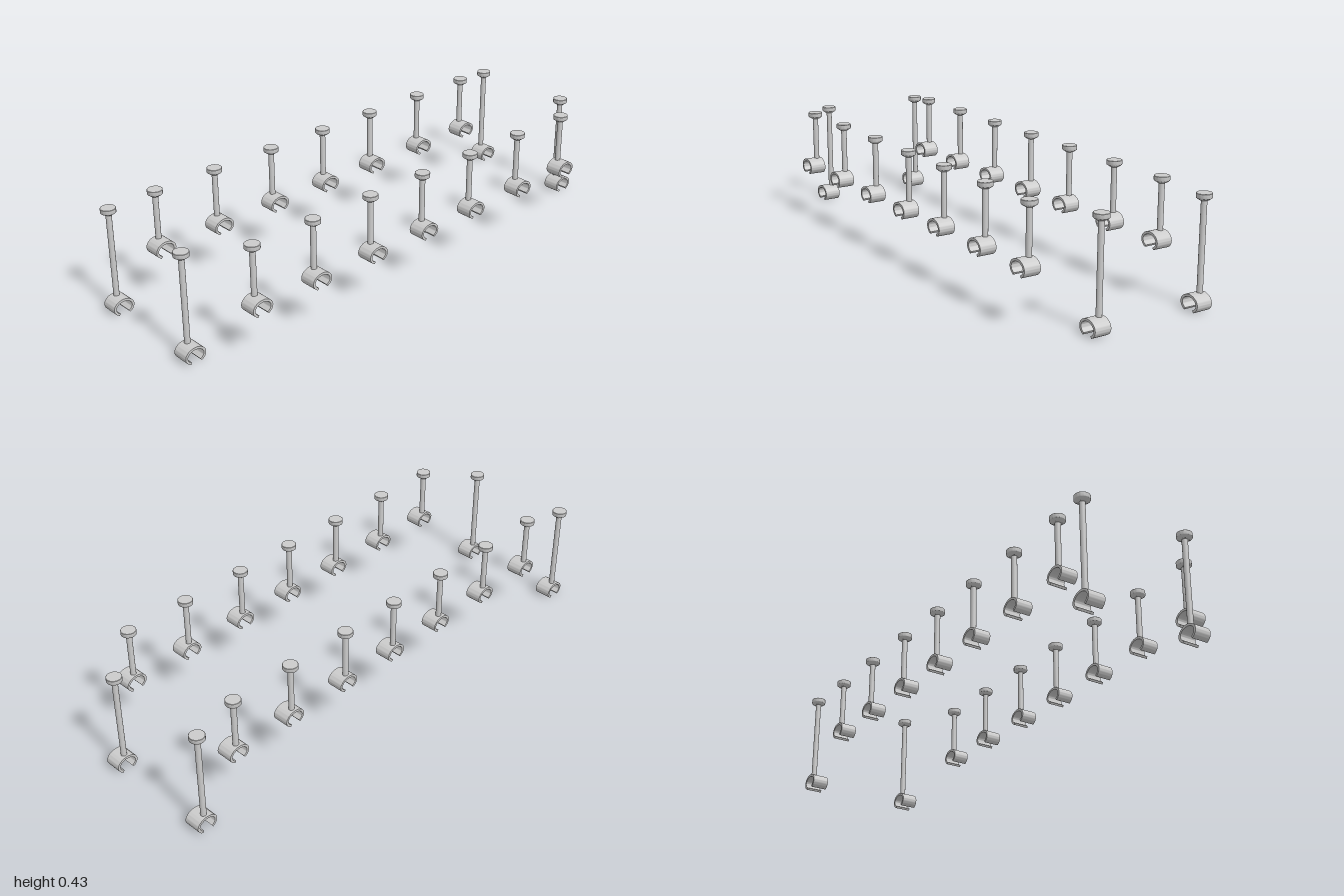
import * as THREE from 'three';
import { toCreasedNormals } from 'three/addons/utils/BufferGeometryUtils.js';

const CLIP_RX = 0.042, CLIP_RY = 0.0325, WALL = 0.009, CLIP_LENGTH = 0.064;
const CLIP_HEIGHT = 0.06;

// C-shaped clip, open at the bottom, resting on y = 0 and centred on z = 0
function clipGeometry() {
  const end = THREE.MathUtils.degToRad(58);
  const cy = CLIP_HEIGHT - CLIP_RY;
  const shape = new THREE.Shape();
  shape.absellipse(0, cy, CLIP_RX, CLIP_RY, -end, Math.PI + end, false);
  shape.absellipse(0, cy, CLIP_RX - WALL, CLIP_RY - WALL, Math.PI + end, -end, true);
  shape.closePath();
  const geometry = new THREE.ExtrudeGeometry(shape, {
    depth: CLIP_LENGTH, bevelEnabled: false, curveSegments: 28,
  });
  geometry.translate(0, 0, -CLIP_LENGTH / 2);
  return toCreasedNormals(geometry, 0.6);
}

// Round cap with a tapered underside, its top face at y = 0
function capGeometry() {
  const profile = [[0, -0.025], [0.016, -0.025], [0.0275, -0.017], [0.028, -0.016],
    [0.028, -0.001], [0.027, 0], [0, 0]].map(([r, y]) => new THREE.Vector2(r, y));
  return toCreasedNormals(new THREE.LatheGeometry(profile, 28), 0.5);
}

export function createModel() {
  const model = new THREE.Group();
  model.name = 'hangerSet';
  const material = new THREE.MeshStandardMaterial({ color: 0xcccccc });
  const clipShape = clipGeometry();
  const capShape = capGeometry();

  function addHanger(name, x, z, bottom, top) {
    const hanger = new THREE.Group();
    hanger.name = name;
    hanger.position.set(x, bottom, z);

    const clip = new THREE.Mesh(clipShape, material);
    clip.name = 'clip';
    clip.position.z = 0.0135;

    // Stem runs from inside the clip wall up into the cap
    const low = CLIP_HEIGHT - WALL / 2, high = top - bottom - 0.02;
    const stem = new THREE.Mesh(
      new THREE.CylinderGeometry(0.0107, 0.0107, high - low, 24), material);
    stem.name = 'stem';
    stem.position.y = (low + high) / 2;

    const cap = new THREE.Mesh(capShape, material);
    cap.name = 'cap';
    cap.position.y = top - bottom;

    hanger.add(clip, stem, cap);
    model.add(hanger);
  }

  // Two rows of short hangers
  for (const x of [-0.782, -0.522, -0.257, 0, 0.251, 0.518, 0.777]) {
    addHanger('shortHangerFront', x, 0.28, 0.177, 0.43);
    addHanger('shortHangerBack', x, -0.266, 0.177, 0.43);
  }

  // Long hangers at both ends
  for (const x of [-0.958, 0.958]) {
    addHanger('longHangerFront', x, 0.131, 0, 0.407);
    addHanger('longHangerBack', x, -0.295, 0, 0.407);
  }
  return model;
}
